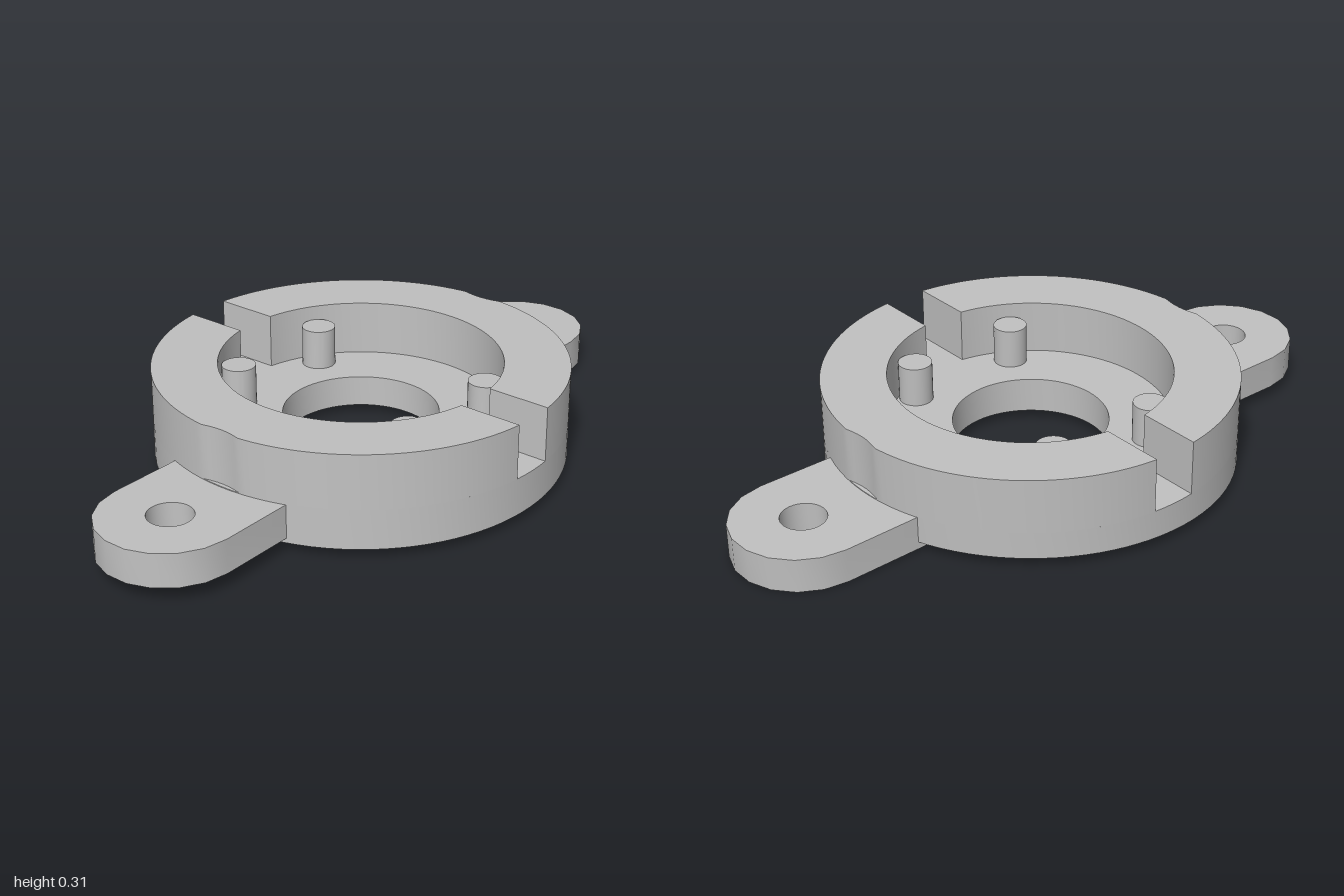
import * as THREE from 'three';
import { toCreasedNormals } from 'three/addons/utils/BufferGeometryUtils.js';

const TILT_X = 0.02, TILT_Z = 0.025;   // slight lean of the whole bracket
const BOTTOM = 0.0265, TAB_TOP = 0.1275, FLOOR = 0.13, RIM_TOP = 0.293;
const OUTER = 0.6, POCKET = 0.41, BORE = 0.227, SLOT = 0.067;

// Points along an arc
function arc(r, from, to, n, cx = 0, cy = 0) {
  return Array.from({ length: n + 1 }, (_, i) => {
    const t = from + (to - from) * i / n;
    return new THREE.Vector2(cx + r * Math.cos(t), cy + r * Math.sin(t));
  });
}

// Screw-head clearance scooped from the rim above a tab
function scoop(p) {
  const reach = 0.213, dx = Math.abs(p.x);
  if (dx < reach) p.y = Math.min(p.y, 0.8 - Math.sqrt(reach * reach - dx * dx));
  return p;
}

// Extrude a plan outline upward between two heights
function slab(points, hole, y0, y1) {
  const shape = new THREE.Shape(points);
  if (hole) shape.holes.push(new THREE.Path(hole));
  return new THREE.ExtrudeGeometry(shape, { depth: y1 - y0, bevelEnabled: false })
    .rotateX(-Math.PI / 2).translate(0, y0, 0);
}

// Lean the geometry, optionally keeping its underside level
function lean(geometry, levelAt = null) {
  const p = geometry.attributes.position;
  for (let i = 0; i < p.count; i++) {
    const x = p.getX(i), y = p.getY(i), z = p.getZ(i);
    const level = levelAt !== null && Math.abs(y - levelAt) < 1e-4;
    p.setXYZ(i, x - TILT_X * y, level ? levelAt : y + TILT_X * x + TILT_Z * z, z - TILT_Z * y);
  }
  return toCreasedNormals(geometry, 0.35);
}

export function createModel() {
  const model = new THREE.Group();
  const grey = new THREE.MeshStandardMaterial({ color: 0xc0c0c0 });
  grey.name = 'grey';
  const add = (name, geometry, levelAt) => {
    const mesh = new THREE.Mesh(lean(geometry, levelAt), grey);
    mesh.name = name;
    model.add(mesh);
  };

  // Base plate with central bore and level underside
  add('base', slab(arc(OUTER, 0, Math.PI * 2, 96).slice(0, -1),
    arc(BORE, 0, Math.PI * 2, 64).slice(0, -1), 0.03, FLOOR), 0.03);

  // Mirrored halves: rim wall, mounting tab and two pins
  for (const [side, turn] of [['back', 0], ['front', Math.PI]]) {
    const a = Math.asin(SLOT / OUTER), b = Math.asin(SLOT / POCKET);
    const wall = [...arc(OUTER, a, Math.PI - a, 80).map(scoop), ...arc(POCKET, Math.PI - b, b, 48)];
    add(side + 'Rim', slab(wall, null, FLOOR, RIM_TOP).rotateY(turn));

    const tab = [new THREE.Vector2(-0.2, 0.37), new THREE.Vector2(0.2, 0.37),
      ...arc(0.203, 0, Math.PI, 9, 0, 0.796)];
    add(side + 'Tab', slab(tab, arc(0.065, 0, Math.PI * 2, 32, 0, 0.793).slice(0, -1),
      BOTTOM, TAB_TOP).rotateY(turn));

    for (const x of [-0.31, 0.31]) {
      const height = 0.25 - FLOOR + 0.01;
      add(side + (x > 0 ? 'LeftPin' : 'RightPin'),
        new THREE.CylinderGeometry(0.05, 0.05, height, 32)
          .translate(x, 0.25 - height / 2, turn ? 0.18 : -0.18));
    }
  }
  return model;
}
